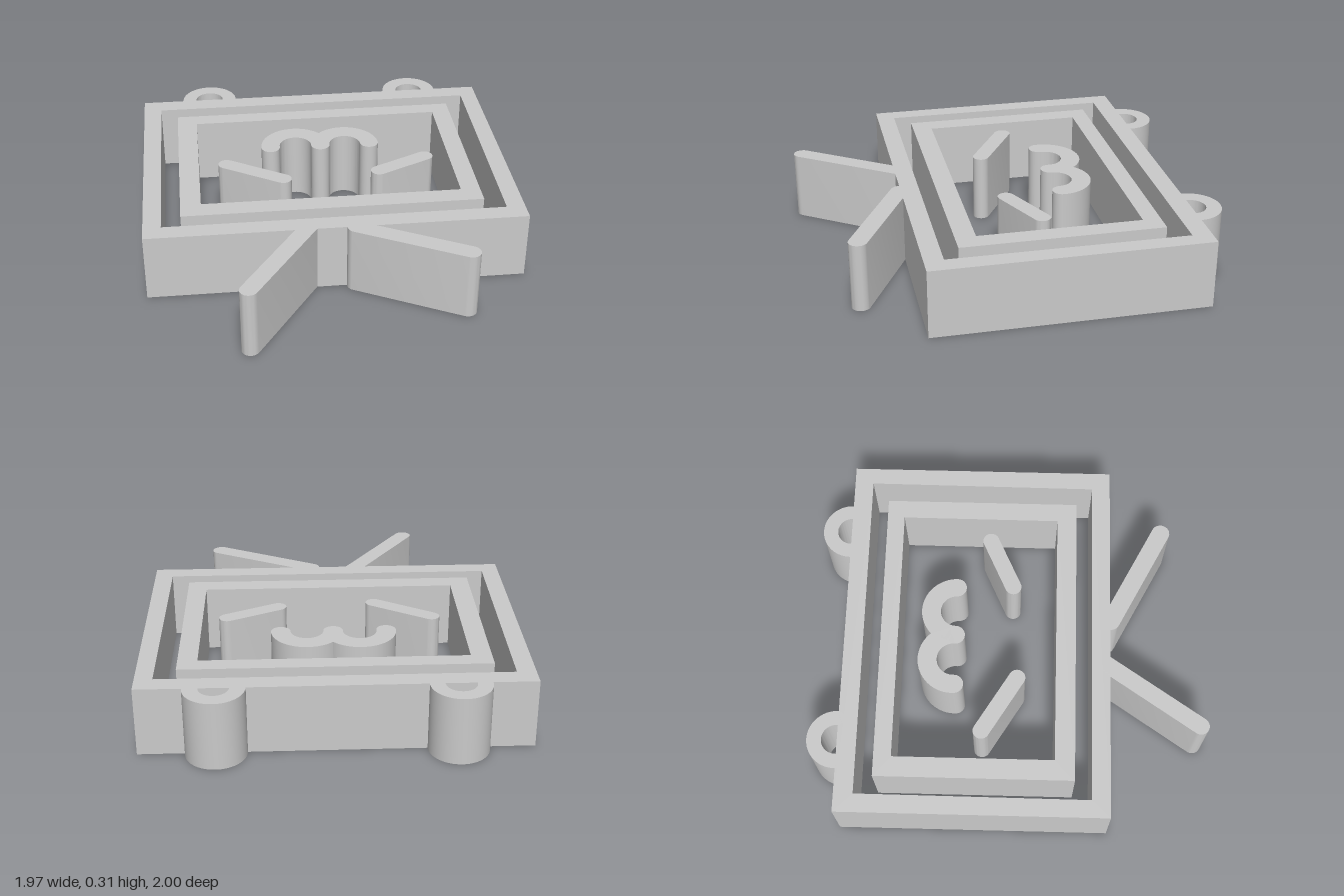
import * as THREE from 'three';
import { toCreasedNormals } from 'three/addons/utils/BufferGeometryUtils.js';

const HEIGHT = 0.312;
const TILT = 0.281; // lean of the whole picture frame
const PI = Math.PI;

// Points along an arc; ends can be left out to avoid duplicates.
function arc(x, y, r, from, to, n, skipEnds = false) {
  const pts = [];
  for (let i = skipEnds ? 1 : 0; i <= (skipEnds ? n - 1 : n); i++) {
    const a = from + ((to - from) * i) / n;
    pts.push(new THREE.Vector2(x + r * Math.cos(a), y + r * Math.sin(a)));
  }
  return pts;
}

// Straight stroke with round ends, given in x and z.
function barShape(x0, z0, x1, z1, w) {
  const t = Math.atan2(z0 - z1, x1 - x0);
  return new THREE.Shape([
    ...arc(x1, -z1, w, t - PI / 2, t + PI / 2, 16),
    ...arc(x0, -z0, w, t + PI / 2, t + 1.5 * PI, 16),
  ]);
}

// Curved stroke with round ends.
function arcShape(x, z, r, w, a0, a1) {
  const y = -z;
  const at = (a) => [x + r * Math.cos(a), y + r * Math.sin(a)];
  return new THREE.Shape([
    ...arc(x, y, r + w, a0, a1, 32),
    ...arc(...at(a1), w, a1, a1 + PI, 12, true),
    ...arc(x, y, r - w, a1, a0, 32),
    ...arc(...at(a0), w, a0 + PI, a0 + 2 * PI, 12, true),
  ]);
}

// Rectangular ring from outer and inner corners in x and z.
// The outline runs counter-clockwise and the hole clockwise, so all walls face outwards.
function frameShape(outer, inner) {
  const toPoints = (c) => c.map(([x, z]) => new THREE.Vector2(x, -z));
  const shape = new THREE.Shape(toPoints(outer).reverse());
  shape.holes.push(new THREE.Path(toPoints(inner)));
  return shape;
}

export function createModel() {
  const group = new THREE.Group();
  const grey = new THREE.MeshStandardMaterial({ color: 0xcacaca });
  grey.name = 'grey';

  function add(name, shape) {
    const extruded = new THREE.ExtrudeGeometry(shape, { depth: HEIGHT, bevelEnabled: false });
    extruded.rotateX(-PI / 2);
    const mesh = new THREE.Mesh(toCreasedNormals(extruded, 0.6), grey);
    mesh.name = name;
    group.add(mesh);
  }

  // Two nested frames
  add('outerFrame', frameShape(
    [[-0.984, -0.492], [0.645, -0.96], [0.984, 0.22], [-0.645, 0.688]],
    [[-0.879, -0.431], [0.594, -0.855], [0.88, 0.162], [-0.591, 0.586]]));
  add('innerFrame', frameShape(
    [[-0.779, -0.377], [0.528, -0.753], [0.777, 0.114], [-0.53, 0.49]],
    [[-0.668, -0.326], [0.467, -0.652], [0.667, 0.051], [-0.466, 0.377]]));

  // Hanging loops on the back edge
  add('rightLoop', arcShape(-0.668, -0.587, 0.1, 0.033, TILT, PI + TILT));
  add('leftLoop', arcShape(0.322, -0.868, 0.099, 0.034, TILT, PI + TILT));

  // Face: two slanted eyes and a double-arched mouth
  add('rightEye', barShape(-0.434, 0.021, -0.145, 0.101, 0.038));
  add('leftEye', barShape(0.279, -0.049, 0.473, -0.219, 0.038));
  add('mouthRightArch', arcShape(-0.147, -0.205, 0.12, 0.044, 0.24, PI + 0.33));
  add('mouthLeftArch', arcShape(0.083, -0.263, 0.118, 0.044, 0.29, PI + 0.26));

  // Splayed legs on the front edge
  add('rightLeg', barShape(-0.117, 0.959, 0.044, 0.46, 0.04));
  add('leftLeg', barShape(0.248, 0.434, 0.752, 0.537, 0.042));

  return group;
}
